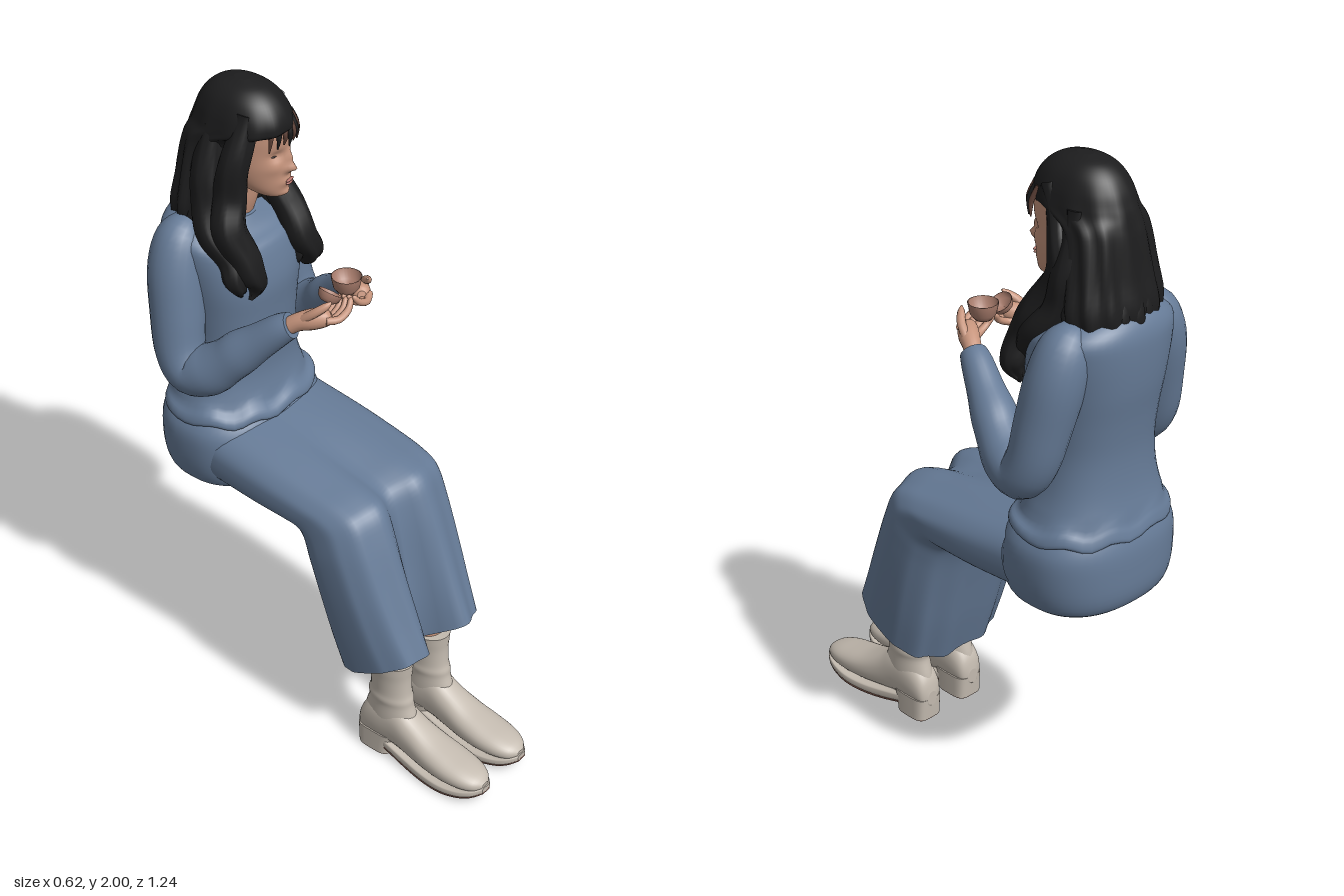
import * as THREE from 'three';

const V = (x, y, z) => new THREE.Vector3(x, y, z);
const mat = (name, color, open) => {
  const m = new THREE.MeshStandardMaterial({ color });
  m.name = name;
  if (open) m.side = THREE.DoubleSide;
  return m;
};

// Catmull-Rom resampling of rows of numbers (all rows of equal length)
function resample(rows, n) {
  const out = [], last = rows.length - 1;
  for (let k = 0; k <= n; k++) {
    const t = (k / n) * last, i = Math.min(Math.floor(t), last - 1), f = t - i;
    const p = [i - 1, i, i + 1, i + 2].map(j => rows[Math.max(0, Math.min(last, j))]);
    out.push(p[1].map((b, c) => {
      const a = p[0][c], d = p[2][c], e = p[3][c];
      return b + 0.5 * f * (d - a + f * (2 * a - 5 * b + 4 * d - e + f * (3 * (b - d) + e - a)));
    }));
  }
  return out;
}

// Skin through rings {c, u, v}; u x v points along the loft, e is the superellipse power
function loft(rings, { seg = 32, e = 2, tweak, capA = true, capB = true } = {}) {
  const pos = [], idx = [];
  const pw = a => Math.sign(a) * Math.abs(a) ** (2 / e);
  const loops = rings.map((r, i) => Array.from({ length: seg }, (_, j) => {
    const t = (j / seg) * Math.PI * 2;
    const p = r.c.clone().addScaledVector(r.u, pw(Math.cos(t))).addScaledVector(r.v, pw(Math.sin(t)));
    if (tweak) tweak(p, i, t);
    return p;
  }));
  const add = p => pos.push(p.x, p.y, p.z) / 3 - 1;
  loops.forEach(l => l.forEach(add));
  for (let i = 0; i < loops.length - 1; i++) for (let j = 0; j < seg; j++) {
    const a = i * seg + j, b = i * seg + (j + 1) % seg;
    idx.push(a, b, b + seg, a, b + seg, a + seg);
  }
  const cap = (l, flip) => {
    const ids = l.map(add), mid = l.reduce((s, p) => s.add(p), V(0, 0, 0)).divideScalar(seg), m = add(mid);
    ids.forEach((a, j) => { const b = ids[(j + 1) % seg]; flip ? idx.push(m, b, a) : idx.push(m, a, b); });
  };
  if (capA) cap(loops[0], true);
  if (capB) cap(loops[loops.length - 1], false);
  const g = new THREE.BufferGeometry();
  g.setAttribute('position', new THREE.Float32BufferAttribute(pos, 3));
  g.setIndex(idx);
  g.computeVertexNormals();
  return g;
}

// Stacked horizontal sections: [y, front z, back z, half width]
const stack = (rows, n, opt) => loft(resample(rows, n).map(([y, f, b, w]) =>
  ({ c: V(0, y, (f + b) / 2), u: V(0, 0, (f - b) / 2), v: V(w, 0, 0) })), opt);
// Upright sections running forward: [z, bottom y, top y, half width]
const along = (rows, n, opt) => loft(resample(rows, n).map(([z, b, t, w]) =>
  ({ c: V(0, (b + t) / 2, z), u: V(w, 0, 0), v: V(0, (t - b) / 2, 0) })), opt);
// Tapered tube through [x, y, z, radius]
function limb(rows, n, { ref = V(1, 0, 0), ...opt } = {}) {
  const s = resample(rows, n);
  const at = i => V(...s[Math.max(0, Math.min(n, i))].slice(0, 3));
  return loft(s.map((r, i) => {
    const t = at(i + 1).sub(at(i - 1)).normalize();
    const u = ref.clone().cross(t).normalize(), v = t.clone().cross(u);
    const R = Math.max(r[3], 0.002);
    return { c: at(i), u: u.multiplyScalar(R), v: v.multiplyScalar(R) };
  }), { seg: 18, ...opt });
}

export function createModel() {
  const root = new THREE.Group();
  root.name = 'seatedWoman';
  const cloth = mat('blue knit', 0x667b97, true), hair = mat('black hair', 0x1d1d1e), skin = mat('skin', 0xc7957d);
  const boot = mat('cream leather', 0xc3baaf), sole = mat('brown sole', 0x6e4c42), clay = mat('clay cup', 0xa87c6c, true);
  const lip = mat('lips', 0xb5736a), fringe = mat('wispy fringe', 0x5f4238), lash = mat('lashes', 0x3a2a26);
  const put = (name, geo, m, parent = root) => {
    const o = new THREE.Mesh(geo, m);
    o.name = name;
    parent.add(o);
    return o;
  };

  // Hips and sweater body
  put('hips', stack([[0.735, -0.3, -0.53, 0.15], [0.745, -0.25, -0.59, 0.215], [0.79, -0.22, -0.615, 0.24], [0.87, -0.22, -0.618, 0.25],
    [0.94, -0.235, -0.612, 0.243], [1.0, -0.28, -0.59, 0.2]], 20, { seg: 48, e: 2.4 }), cloth);
  put('sweater', stack([[0.955, -0.27, -0.59, 0.215], [0.965, -0.238, -0.609, 0.24], [0.99, -0.24, -0.605, 0.236], [1.02, -0.265, -0.594, 0.212],
    [1.1, -0.28, -0.578, 0.186], [1.2, -0.275, -0.573, 0.175], [1.3, -0.268, -0.582, 0.182], [1.4, -0.262, -0.597, 0.195],
    [1.5, -0.285, -0.603, 0.207], [1.56, -0.32, -0.598, 0.2], [1.6, -0.345, -0.575, 0.14], [1.62, -0.36, -0.53, 0.07]], 44, {
    seg: 48, e: 2.3, tweak: p => {
      // neckline dips at the front, hem ripples gently
      p.y -= Math.max(0, p.z + 0.46) * 0.45 * THREE.MathUtils.smoothstep(p.y, 1.5, 1.62);
      if (p.y < 1.03) p.y += 0.008 * Math.sin(p.x * 40 + p.z * 25);
    } }), cloth);

  // Long skirt: [front z, front y, back z, back y, half width, groove depth]
  const skirtRows = resample([[-0.3, 0.965, -0.36, 0.742, 0.24, 0], [-0.12, 0.94, -0.2, 0.737, 0.243, 0.01], [0.04, 0.915, -0.09, 0.738, 0.24, 0.025],
    [0.15, 0.897, -0.06, 0.735, 0.236, 0.04], [0.21, 0.87, -0.035, 0.71, 0.236, 0.05], [0.25, 0.79, -0.01, 0.65, 0.238, 0.06],
    [0.305, 0.65, 0.02, 0.54, 0.232, 0.085], [0.355, 0.53, 0.055, 0.4, 0.22, 0.11], [0.4, 0.435, 0.092, 0.27, 0.206, 0.15]], 40);
  const skirtRings = skirtRows.map(([fz, fy, bz, by, w], i) => ({
    c: V(0.005 - 0.018 * Math.min(1, i / 25), (fy + by) / 2, (fz + bz) / 2), u: V(w, 0, 0), v: V(0, (fy - by) / 2, (fz - bz) / 2) }));
  put('skirt', loft(skirtRings, {
    seg: 80, e: 2.7, capA: false, capB: false, tweak: (p, i, t) => {
      const dir = skirtRings[i].v.clone().normalize(), s = Math.max(0, Math.sin(t));
      p.addScaledVector(dir, -skirtRows[i][5] * s * Math.exp(-(((p.x + 0.025) / 0.05) ** 2)));
      p.addScaledVector(dir, 0.006 * (i / 40) * Math.sin(t * 11));
    } }), cloth);

  for (const s of [1, -1]) {
    const side = s > 0 ? 'left' : 'right';
    const P = rows => rows.map(([x, y, z, r]) => [x * s, y, z, r]);

    // Sleeve with elbow folds
    put(side + 'Sleeve', limb(P([[0.13, 1.575, -0.475, 0.04], [0.165, 1.535, -0.475, 0.072], [0.195, 1.45, -0.468, 0.083], [0.218, 1.33, -0.45, 0.08],
      [0.236, 1.22, -0.43, 0.074], [0.238, 1.163, -0.39, 0.073], [0.222, 1.18, -0.33, 0.076], [0.205, 1.225, -0.275, 0.066], [0.188, 1.265, -0.235, 0.064],
      [0.168, 1.31, -0.185, 0.053], [0.145, 1.36, -0.13, 0.045], [0.132, 1.38, -0.1, 0.038]]), 48, { seg: 24 }), cloth);

    // Hand with curled fingers
    const hand = new THREE.Group();
    hand.name = side + 'Hand';
    root.add(hand);
    const ref = V(0, 1, 0);
    put('palm', limb(P([[0.142, 1.365, -0.12, 0.024], [0.122, 1.392, -0.085, 0.026], [0.1, 1.405, -0.05, 0.03], [0.075, 1.413, -0.02, 0.026],
      [0.065, 1.418, -0.01, 0.012]]), 14, { ref }), skin, hand);
    for (let f = 0; f < 4; f++) {
      const z = 0.012 - f * 0.019, y = 1.412 - f * 0.006;
      put('finger', limb(P([[0.092, y, z - 0.02, 0.012], [0.06, y - 0.002, z, 0.011], [0.025, y + 0.014, z + 0.004, 0.01],
        [0.008, y + 0.034, z - 0.002, 0.008], [0.004, y + 0.042, z - 0.004, 0.002]]), 12, { ref, seg: 10 }), skin, hand);
    }
    put('thumb', limb(P([[0.125, 1.4, -0.075, 0.014], [0.112, 1.435, -0.035, 0.013], [0.09, 1.457, -0.01, 0.011], [0.078, 1.47, 0, 0.003]]), 12, { ref, seg: 10 }), skin, hand);

    // Leg, continuing up inside the skirt
    const bx = s > 0 ? 0.053 : -0.122;
    put(side + 'Leg', limb([[bx, 0.32, 0.265, 0.044], [bx, 0.45, 0.25, 0.05], [bx, 0.62, 0.2, 0.058], [bx, 0.8, 0.1, 0.06]], 14), skin);

    // Boot
    const shoe = new THREE.Group();
    shoe.name = side + 'Boot';
    shoe.position.x = bx;
    root.add(shoe);
    put('bootFoot', along([[0.163, 0.05, 0.1, 0.018], [0.178, 0.04, 0.15, 0.042], [0.23, 0.04, 0.2, 0.051], [0.3, 0.042, 0.205, 0.052],
      [0.36, 0.035, 0.168, 0.056], [0.43, 0.03, 0.134, 0.064], [0.5, 0.03, 0.114, 0.067], [0.56, 0.035, 0.1, 0.06],
      [0.6, 0.042, 0.086, 0.042], [0.62, 0.05, 0.07, 0.015]], 36, { e: 2.3 }), boot, shoe);
    put('bootShaft', stack([[0.1, 0.345, 0.168, 0.048], [0.15, 0.358, 0.176, 0.05], [0.2, 0.343, 0.19, 0.049], [0.225, 0.34, 0.188, 0.052],
      [0.25, 0.333, 0.196, 0.049], [0.3, 0.33, 0.194, 0.051], [0.335, 0.332, 0.193, 0.055], [0.36, 0.334, 0.193, 0.057]], 28), boot, shoe);
    const welt = [[0.27, 0.03, 0.06, 0.046], [0.35, 0.012, 0.045, 0.055], [0.43, 0.005, 0.037, 0.066], [0.5, 0.007, 0.037, 0.07],
      [0.56, 0.018, 0.044, 0.062], [0.6, 0.03, 0.054, 0.045], [0.625, 0.042, 0.06, 0.018]];
    put('soleEdge', along(welt, 24, { e: 5 }), boot, shoe);
    put('soleBottom', along(welt.map(([z, b, , w]) => [z, b - 0.004, b + 0.004, w * 0.97]), 24, { e: 5 }), sole, shoe);
    const heel = [[0.003, 0.285, 0.167, 0.049], [0.04, 0.29, 0.165, 0.049], [0.075, 0.3, 0.163, 0.049]];
    put('heel', stack(heel, 8, { e: 4 }), boot, shoe);
    put('heelBottom', stack([[0, 0.284, 0.168, 0.048], [0.003, 0.284, 0.168, 0.048]], 1, { e: 4 }), sole, shoe);
  }

  // Small cup in the left hand, tilted shallow cup in the right
  const bowl = (r, h) => new THREE.LatheGeometry([[0, 0], [r * 0.55, 0], [r * 0.85, h * 0.35], [r, h], [r * 0.93, h], [r * 0.75, h * 0.4], [0, h * 0.2]]
    .map(([x, y]) => new THREE.Vector2(x, y)), 28);
  put('cup', bowl(0.044, 0.05), clay).position.set(0.037, 1.432, -0.042);
  const lid = put('shallowCup', bowl(0.036, 0.028), clay);
  lid.position.set(-0.045, 1.438, -0.045);
  lid.rotation.set(0.1, 0, -0.6);

  // Neck and head
  put('neck', limb([[0, 1.52, -0.44, 0.07], [0.002, 1.58, -0.425, 0.057], [0.008, 1.64, -0.4, 0.05], [0.014, 1.72, -0.39, 0.052]], 14), skin);
  const head = new THREE.Group();
  head.name = 'head';
  head.position.set(0.015, 0, -0.38);
  head.rotation.y = 0.2;
  root.add(head);
  // facial relief: [x, y, height, x spread, y spread]
  const relief = [[0, 1.748, 0.026, 0.015, 0.013], [0, 1.778, 0.016, 0.011, 0.024], [0, 1.705, 0.007, 0.026, 0.013], [0, 1.668, 0.007, 0.02, 0.01]];
  for (const s of [1, -1]) relief.push([s * 0.034, 1.792, -0.012, 0.018, 0.013], [s * 0.046, 1.755, 0.005, 0.02, 0.018]);
  put('face', stack([[1.652, 0.1, 0.06, 0.012], [1.66, 0.117, 0.03, 0.036], [1.68, 0.124, -0.02, 0.056], [1.71, 0.127, -0.07, 0.071], [1.75, 0.129, -0.1, 0.081],
    [1.8, 0.13, -0.12, 0.086], [1.84, 0.135, -0.13, 0.088], [1.88, 0.132, -0.13, 0.087], [1.92, 0.11, -0.12, 0.076], [1.955, 0.06, -0.08, 0.045]], 54, {
    seg: 72, tweak: p => {
      if (p.z < 0.03) return;
      const y = p.y;
      for (const [x0, y0, a, sx, sy] of relief) p.z += a * Math.exp(-(((p.x - x0) / sx) ** 2) - ((y - y0) / sy) ** 2);
    } }), skin, head);
  const blob = (name, m, x, y, z, sx, sy, sz) => {
    const o = put(name, new THREE.SphereGeometry(1, 16, 10), m, head);
    o.position.set(x, y, z);
    o.scale.set(sx, sy, sz);
    return o;
  };
  blob('upperLip', lip, 0, 1.709, 0.134, 0.02, 0.004, 0.005);
  blob('lowerLip', lip, 0, 1.701, 0.133, 0.017, 0.005, 0.006);
  for (const s of [1, -1]) {
    blob('eyelashes', lash, s * 0.035, 1.789, 0.104, 0.014, 0.003, 0.006).rotation.y = s * 0.35;
    blob('ear', skin, s * 0.088, 1.775, -0.005, 0.01, 0.03, 0.018);
  }
  // Wispy fringe
  for (let i = -4; i <= 4; i++) {
    const x = i * 0.0165, z = 0.141 * Math.sqrt(1 - (x / 0.1) ** 2), end = 1.826 + 0.006 * ((i + 4) % 3) - Math.abs(i) * 0.003;
    put('fringeStrand', limb([[x * 0.8, 1.905, z - 0.008, 0.008], [x * 0.95, 1.865, z + 0.008, 0.008], [x * 1.05 + 0.004, end, z + 0.003, 0.002]], 10,
      { seg: 8 }), i % 2 ? hair : fringe, head);
  }

  // Hair cap and back fall
  put('hairCap', stack([[1.535, -0.45, -0.545, 0.09], [1.565, -0.4, -0.57, 0.145], [1.62, -0.375, -0.577, 0.158], [1.7, -0.375, -0.562, 0.145],
    [1.8, -0.362, -0.548, 0.128], [1.84, -0.33, -0.54, 0.122], [1.868, -0.24, -0.533, 0.115], [1.89, -0.226, -0.525, 0.11],
    [1.925, -0.236, -0.51, 0.1], [1.96, -0.262, -0.485, 0.082], [1.985, -0.3, -0.45, 0.054], [1.998, -0.35, -0.4, 0.018]], 48, {
    seg: 64, e: 2.15, tweak: (p, i, t) => {
      const k = 0.006 * Math.sin(t * 12 + p.y * 9) * (1 - THREE.MathUtils.smoothstep(p.y, 1.7, 1.98));
      p.x += k * Math.sin(t);
      p.z += k * Math.cos(t);
    } }), hair);
  // Wavy locks falling over the shoulders
  const locks = [
    [[-0.06, 1.93, -0.31, 0.03], [-0.095, 1.82, -0.315, 0.039], [-0.112, 1.7, -0.335, 0.045], [-0.128, 1.6, -0.32, 0.05], [-0.11, 1.5, -0.288, 0.048], [-0.085, 1.43, -0.272, 0.034], [-0.1, 1.375, -0.28, 0.006]],
    [[-0.085, 1.88, -0.41, 0.03], [-0.115, 1.72, -0.41, 0.045], [-0.14, 1.6, -0.385, 0.045], [-0.133, 1.5, -0.32, 0.042], [-0.14, 1.43, -0.29, 0.025], [-0.12, 1.39, -0.3, 0.006]],
    [[0.075, 1.92, -0.33, 0.028], [0.103, 1.83, -0.375, 0.026], [0.108, 1.72, -0.4, 0.038], [0.108, 1.6, -0.335, 0.046], [0.125, 1.5, -0.288, 0.046], [0.15, 1.42, -0.278, 0.037], [0.155, 1.37, -0.3, 0.006]],
    [[0.085, 1.88, -0.43, 0.03], [0.11, 1.72, -0.43, 0.042], [0.125, 1.6, -0.4, 0.045], [0.14, 1.5, -0.32, 0.04], [0.115, 1.43, -0.29, 0.025], [0.12, 1.39, -0.3, 0.006]]];
  locks.forEach((l, k) => put('hairLock', limb(l, 40, {
    seg: 22, tweak: (p, i, t) => { p.x += 0.005 * Math.sin(i * 0.55 + k); p.z += 0.004 * Math.sin(t * 5 + i * 0.25); } }), hair));
  // Ragged tips along the back
  for (let i = -3; i <= 3; i++) {
    const x = i * 0.042, z = -0.565 + 0.012 * i * i;
    put('backTip', limb([[x * 0.9, 1.68, z + 0.02, 0.02], [x, 1.61, z + 0.005, 0.026], [x * 1.05, 1.565, z, 0.02],
      [x * 1.1 + 0.008, 1.53 + 0.008 * (i & 1), z + 0.002, 0.003]], 14, { seg: 12 }), hair);
  }
  return root;
}
